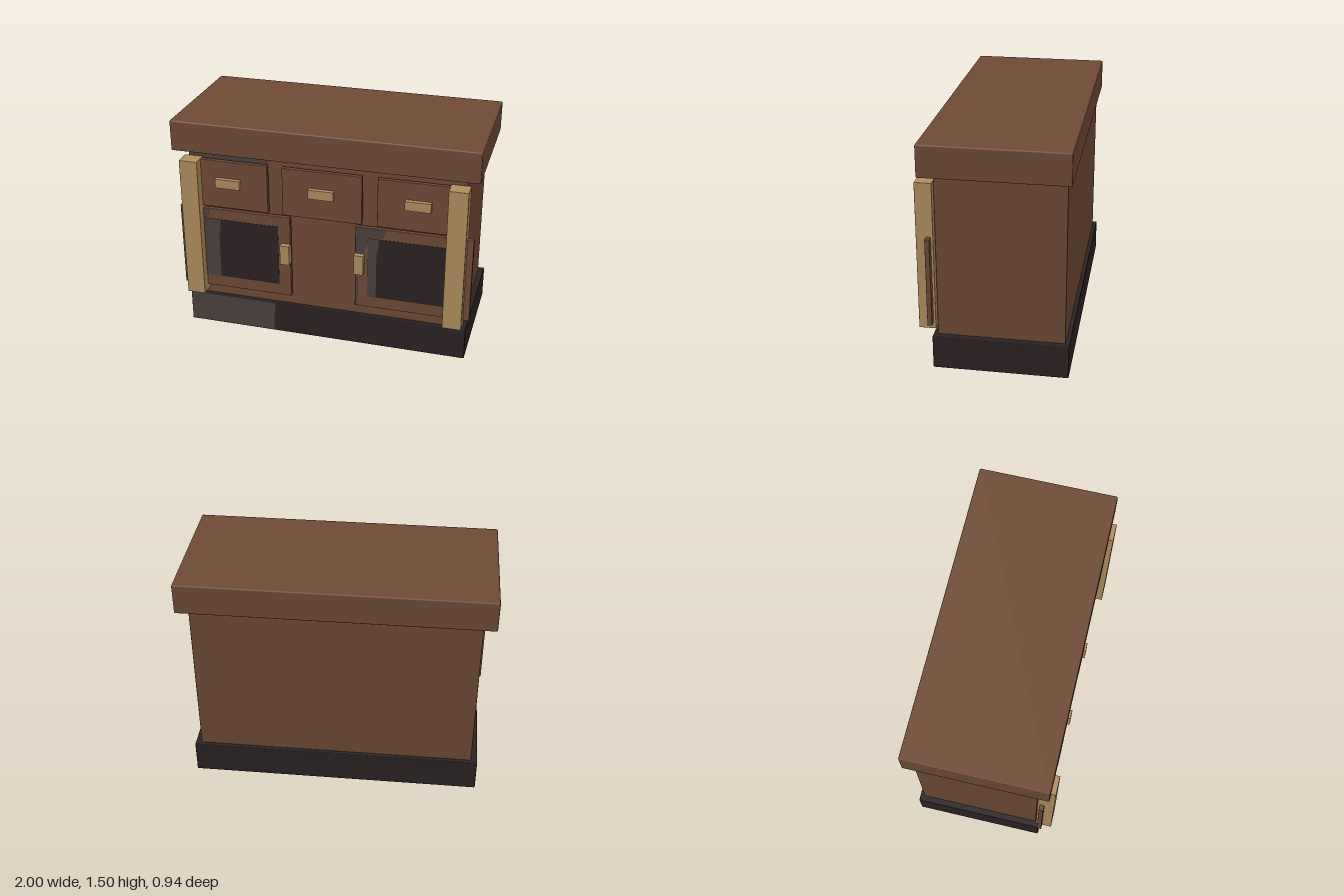
import * as THREE from 'three';
import { RoundedBoxGeometry } from 'three/addons/geometries/RoundedBoxGeometry.js';

export function createModel() {
  const group = new THREE.Group();
  group.name = 'sideboard';
  const material = (name, color) => {
    const m = new THREE.MeshStandardMaterial({ color });
    m.name = name;
    return m;
  };
  const wood = material('brownWood', 0x6e4a35);
  const gold = material('paleWood', 0xb08d5d);
  const dark = material('darkWood', 0x2c2222);
  const worn = material('wornGrey', 0x4d403c);

  // Box given by its limits, with an optional small bevel
  function box(name, mat, [x0, x1], [y0, y1], [z0, z1], bevel = 0) {
    const size = [x1 - x0, y1 - y0, z1 - z0];
    const geo = bevel ? new RoundedBoxGeometry(...size, 1, bevel) : new THREE.BoxGeometry(...size);
    const mesh = new THREE.Mesh(geo, mat);
    mesh.name = name;
    mesh.position.set((x0 + x1) / 2, (y0 + y1) / 2, (z0 + z1) / 2);
    group.add(mesh);
  }

  // Flat painted patch facing the front
  function patch(name, mat, z, points) {
    const shape = new THREE.Shape(points.map(p => new THREE.Vector2(...p)));
    const mesh = new THREE.Mesh(new THREE.ShapeGeometry(shape), mat);
    mesh.name = name;
    mesh.position.z = z;
    group.add(mesh);
  }

  // Carcass
  box('plinth', dark, [-0.955, 0.955], [0, 0.222], [-0.467, 0.387], 0.005);
  box('body', wood, [-0.915, 0.915], [0.2, 1.31], [-0.44, 0.36], 0.006);
  box('worktop', wood, [-0.998, 0.998], [1.29, 1.495], [-0.47, 0.443], 0.009);

  // Corner posts
  box('rightPost', gold, [-0.938, -0.815], [0.268, 1.238], [0.365, 0.472], 0.003);
  box('leftPost', gold, [0.812, 0.936], [0.268, 1.238], [0.365, 0.472], 0.003);

  // Drawers with bar handles
  for (const x of [-0.627, -0.003, 0.622]) {
    box('drawer', wood, [x - 0.263, x + 0.263], [0.906, 1.237], [0.38, 0.41], 0.003);
    box('drawerHandle', gold, [x - 0.083, x + 0.083], [1.058, 1.12], [0.405, 0.44]);
  }

  // Doors with dark panels and upright handles
  for (const side of [-1, 1]) {
    const span = (a, b) => (side < 0 ? [-b, -a] : [a, b]);
    box('door', wood, span(0.218, 0.977), [0.308, 0.89], [0.38, 0.41], 0.003);
    box('doorPanel', dark, span(0.3, 0.895), [0.388, 0.816], [0.408, 0.412]);
    box('doorHandle', gold, span(0.218, 0.28), [0.56, 0.698], [0.405, 0.447]);
  }

  // Worn grey areas on the front faces
  patch('plinthWear', worn, 0.389,
    [[-0.95, 0.005], [-0.355, 0.005], [-0.353, 0.13], [-0.343, 0.18], [-0.342, 0.217], [-0.95, 0.217]]);
  patch('bodyWear', worn, 0.362,
    [[-0.91, 0.222], [-0.87, 0.222], [-0.86, 0.9], [-0.37, 1.23], [-0.37, 1.29], [-0.91, 1.29]]);
  patch('rightDoorWear', worn, 0.411,
    [[-0.975, 0.31], [-0.85, 0.31], [-0.82, 0.8], [-0.775, 0.83], [-0.77, 0.887], [-0.975, 0.887]]);
  patch('leftDoorWear', worn, 0.411,
    [[0.22, 0.31], [0.237, 0.31], [0.242, 0.56], [0.3, 0.78], [0.405, 0.83], [0.42, 0.887], [0.22, 0.887]]);
  for (const [x0, x1] of [[-0.893, -0.708], [0.302, 0.363]]) {
    patch('panelWear', worn, 0.4135,
      [[x0, 0.39], [x1 - 0.003, 0.39], [x1 - 0.003, 0.7], [x1 + 0.01, 0.76], [x1 + 0.01, 0.814], [x0, 0.814]]);
  }
  return group;
}
